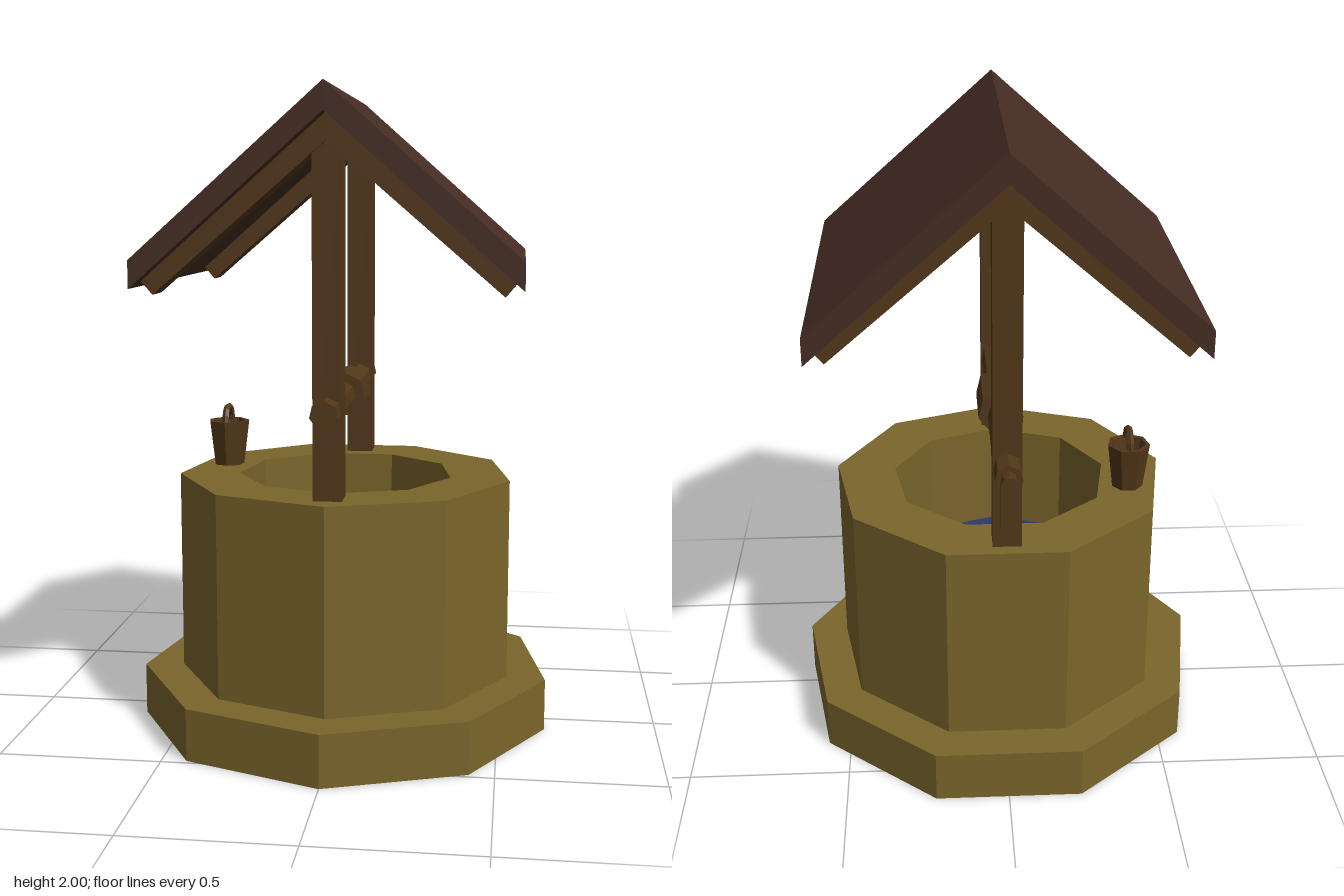
import * as THREE from 'three';

const mat = (color, side = THREE.FrontSide) =>
  new THREE.MeshStandardMaterial({ color, side, flatShading: true });

const ZC = -0.02; // common centre of well, roof and axle
const AXLE_Y = 1.066;

export function createModel() {
  const model = new THREE.Group();
  model.name = 'well';
  const stone = mat(0x7a652b, THREE.DoubleSide);
  const wood = mat(0x523719);
  const woodThin = mat(0x523719, THREE.DoubleSide);
  const roofing = mat(0x452c23);
  const waterMat = mat(0x2a3a66, THREE.DoubleSide);

  const add = (name, geo, material, x = 0, y = 0, z = ZC) => {
    const mesh = new THREE.Mesh(geo, material);
    mesh.name = name;
    mesh.position.set(x, y, z);
    model.add(mesh);
    return mesh;
  };
  const lathe = (pts, sides) =>
    new THREE.LatheGeometry(pts.map(([r, y]) => new THREE.Vector2(r, y)), sides);
  // outline in x/y, extruded and centred along z
  const prism = (pts, depth) =>
    new THREE.ExtrudeGeometry(
      new THREE.Shape(pts.map(([x, y]) => new THREE.Vector2(x, y))),
      { depth, bevelEnabled: false }
    ).translate(0, 0, -depth / 2);
  // seven-sided rod along z with one corner up
  const rod = (r, length) =>
    new THREE.CylinderGeometry(r, r, length, 7).rotateX(-Math.PI / 2);

  // Nine-sided stone shell: plinth, wall, rim and shaft, open underneath
  add('stoneWall', lathe([
    [0.659, 0], [0.659, 0.163], [0.535, 0.163], [0.535, 0.8], [0.345, 0.8], [0.345, 0.45],
  ], 9), stone);
  add('water', lathe([[0.345, 0], [0, 0]], 9), waterMat, 0, 0.455);

  // Posts and the rafters above them
  for (const [end, side] of [['front', 1], ['back', -1]]) {
    const z = ZC + side * 0.42;
    add(end + 'Post', new THREE.BoxGeometry(0.086, 1.06, 0.084), wood, 0, 1.33, z);
    add(end + 'Rafters', prism([
      [0, 1.92], [-0.543, 1.441], [-0.508, 1.4], [0, 1.838], [0.508, 1.4], [0.543, 1.441],
    ], 0.104), wood, 0, 0, z);
  }

  // Gabled roof
  add('roof', prism([
    [0, 2], [-0.563, 1.502], [-0.563, 1.42], [0, 1.917], [0.563, 1.42], [0.563, 1.502],
  ], 1.07), roofing);

  // Windlass: axle, drum, crank
  add('axle', rod(0.042, 1.08), wood, 0, AXLE_Y);
  add('drum', rod(0.072, 0.195), wood, 0, AXLE_Y);
  add('crankShaft', rod(0.024, 0.06), wood, 0, AXLE_Y, -0.575);
  add('crankHandle', prism([
    [-0.012, 0.912], [0.012, 0.912], [0.025, 0.93], [0.025, 1.073],
    [0.012, 1.09], [-0.012, 1.09], [-0.025, 1.073], [-0.025, 0.93],
  ], 0.018), wood, 0, 0, -0.597);

  // Bucket on the rim, with its bail
  add('bucket', lathe([
    [0, 0.002], [0.05, 0.002], [0.068, 0.148], [0.056, 0.148], [0.042, 0.02], [0, 0.02],
  ], 7), woodThin, -0.405, 0.8, -0.108);
  add('bucketHandle',
    new THREE.TorusGeometry(0.05, 0.011, 5, 7, Math.PI).rotateY(Math.PI / 2),
    woodThin, -0.405, 0.945, -0.106);

  return model;
}
